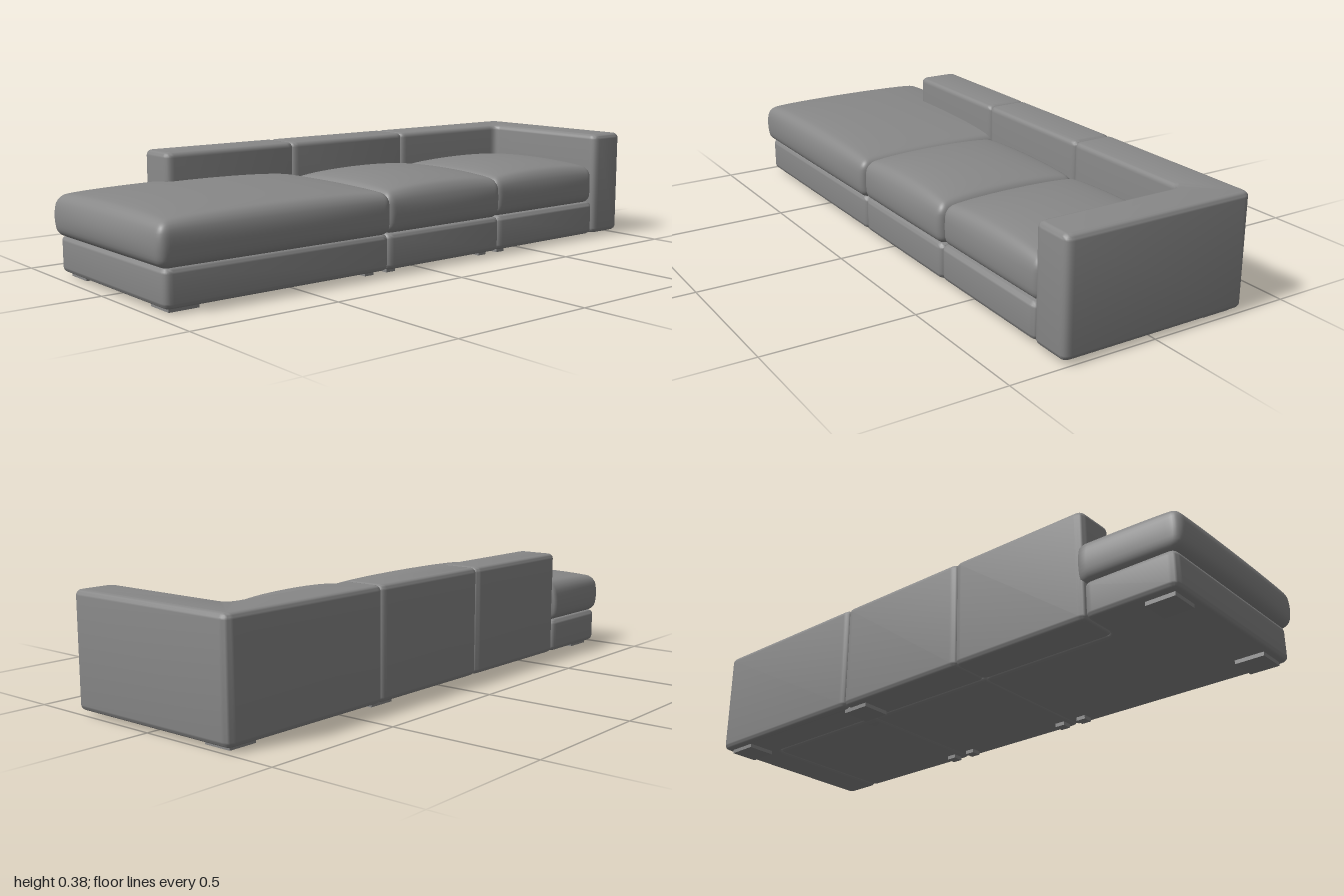
import * as THREE from 'three';
import { mergeVertices, toCreasedNormals } from 'three/addons/utils/BufferGeometryUtils.js';

const material = new THREE.MeshStandardMaterial({ color: 0x888888 });

const rect = (x0, x1, z0, z1) => [[x0, z0], [x1, z0], [x1, z1], [x0, z1]];

// Upholstered block: plan outline in [x, z] with rounded corners, extruded upwards with soft edges
function slab(outline, y0, y1) {
  const corner = 0.028, bevel = 0.018;
  const pts = outline.map(([x, z]) => new THREE.Vector2(x, -z));
  const shape = new THREE.Shape();
  pts.forEach((p, i) => {
    const prev = pts[(i + pts.length - 1) % pts.length];
    const next = pts[(i + 1) % pts.length];
    const a = p.clone().add(prev.clone().sub(p).setLength(corner));
    const b = p.clone().add(next.clone().sub(p).setLength(corner));
    if (i === 0) shape.moveTo(a.x, a.y);
    else shape.lineTo(a.x, a.y);
    shape.quadraticCurveTo(p.x, p.y, b.x, b.y);
  });
  shape.closePath();
  const geometry = new THREE.ExtrudeGeometry(shape, {
    depth: y1 - y0 - 2 * bevel, curveSegments: 5,
    bevelThickness: bevel, bevelSize: bevel, bevelOffset: -bevel, bevelSegments: 5,
  });
  geometry.rotateX(-Math.PI / 2).translate(0, y0 + bevel, 0);
  return toCreasedNormals(geometry, 0.7);
}

// Puffy cushion: rounded box with a crowned top and bulging sides.
// bulge = [-x, +x, -z, +z]; adjust can reshape the finished points
function cushion([x0, x1], [y0, y1], [z0, z1], crown, bulge, adjust) {
  const r = 0.028;
  const half = new THREE.Vector3((x1 - x0) / 2, (y1 - y0) / 2, (z1 - z0) / 2);
  const inner = half.clone().subScalar(r);
  let geometry = new THREE.BoxGeometry(2, 2, 2, 44, 16, 48);
  geometry.deleteAttribute('normal');
  geometry.deleteAttribute('uv');
  geometry = mergeVertices(geometry);
  const pos = geometry.attributes.position;
  const p = new THREE.Vector3(), core = new THREE.Vector3();
  const ease = (t) => Math.sin(t * Math.PI / 2);
  for (let i = 0; i < pos.count; i++) {
    p.fromBufferAttribute(pos, i);
    p.set(ease(p.x), ease(p.y), ease(p.z)).multiply(half);
    core.copy(p).clamp(inner.clone().negate(), inner);
    p.sub(core).setLength(r).add(core);
    const u = p.x / half.x, v = p.y / half.y, w = p.z / half.z;
    const fx = Math.max(0, 1 - u * u), fy = 1 - v * v, fz = Math.max(0, 1 - w * w);
    if (v > 0) p.y += crown * v * Math.pow(fx * fz, 0.4);
    const sideX = u < 0 ? -bulge[0] : bulge[1];
    const sideZ = w < 0 ? -bulge[2] : bulge[3];
    p.x += sideX * u * u * fy * (0.6 + 0.4 * fz);
    p.z += sideZ * w * w * fy * (0.6 + 0.4 * fx);
    p.add(core.set((x0 + x1) / 2, (y0 + y1) / 2, (z0 + z1) / 2));
    if (adjust) adjust(p);
    pos.setXYZ(i, p.x, p.y, p.z);
  }
  geometry.computeVertexNormals();
  return geometry;
}

export function createModel() {
  const group = new THREE.Group();
  const add = (name, geometry) => {
    const mesh = new THREE.Mesh(geometry, material);
    mesh.name = name;
    group.add(mesh);
  };

  const L = -0.338, B = -0.188, R = 0.324; // outer back, inner back, open side
  const S1 = -0.35, S2 = 0.155, S3 = 0.66; // module seams and end of the backrest
  const e = 0.005; // neighbouring modules press into each other
  const bottom = 0.013, baseTop = 0.133, top = 0.384;

  // Backrest: corner piece with the arm, then two straight blocks
  add('cornerBackAndArm', slab([[L, -1], [R, -1], [R, -0.853], [B, -0.853], [B, S1 + e], [L, S1 + e]], bottom, top));
  add('middleBack', slab(rect(L, B, S1 - e, S2 + e), bottom, top));
  add('chaiseBack', slab(rect(L, B, S2 - e, S3), bottom, top));

  // Bases
  add('cornerBase', slab(rect(B - e, 0.32, -0.853 - e, S1 + e), bottom, baseTop));
  add('middleBase', slab(rect(B - e, R, S1 - e, S2 + e), bottom, baseTop));
  add('chaiseBase', slab([[B - e, S2 - e], [R, S2 - e], [R, 0.97], [L, 0.97], [L, S3 - e], [B - e, S3 - e]], bottom, baseTop));

  // Seat cushions
  const y = [0.13, 0.255];
  add('cornerCushion', cushion([B - e, 0.311], y, [-0.853 - e, S1 + e], 0.043, [0, 0.009, 0, 0]));
  add('middleCushion', cushion([B - e, 0.323], y, [S1 - e, S2 + e], 0.047, [0, 0.011, 0, 0]));
  // The chaise cushion steps in behind its backrest
  add('chaiseCushion', cushion([-0.334, 0.332], [0.13, 0.26], [S2 - e, 0.982], 0.036,
    [0.012, 0.013, 0, 0.018], (p) => { if (p.z < S3 - 0.015) p.x = Math.max(p.x, -0.28); }));

  // Feet: [x, z, size]
  const feet = [
    [-0.26, 0.895, 0.1], [0.247, 0.895, 0.1], [-0.26, -0.92, 0.1], [-0.26, -0.32, 0.1],
    [0.275, 0.21, 0.036], [0.275, 0.12, 0.036], [0.275, -0.3, 0.036], [0.275, -0.39, 0.036],
  ];
  for (const [x, z, size] of feet) {
    add('foot', new THREE.BoxGeometry(size, 0.018, size).translate(x, 0.009, z));
  }
  return group;
}
